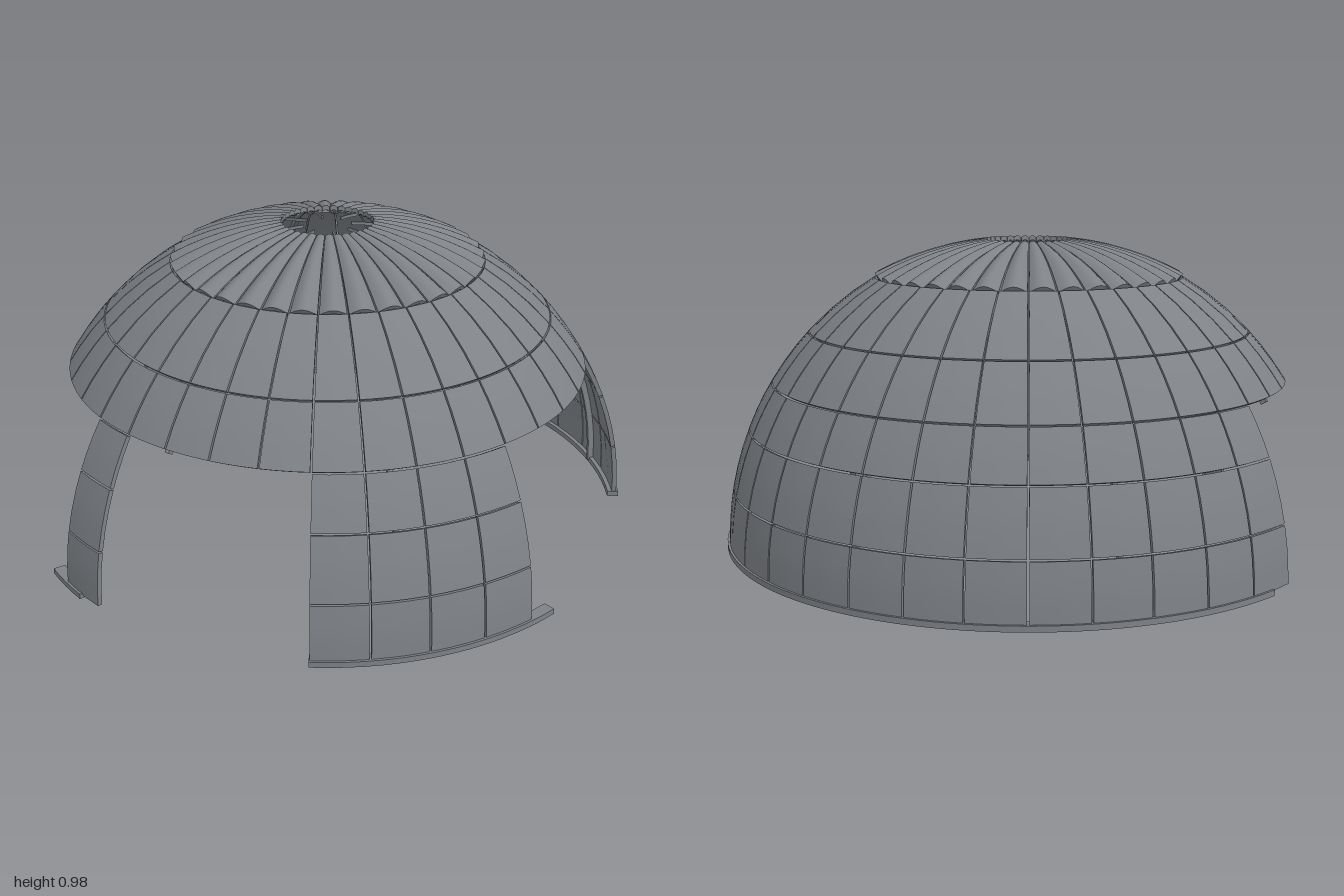
import * as THREE from 'three';
import { mergeGeometries } from 'three/addons/utils/BufferGeometryUtils.js';

const RAD = Math.PI / 180;
const R = 1.0;          // outer radius of the shell
const THICK = 0.015;    // panel thickness
const STEP = 10;        // degrees per panel column
const GAP = 0.16;       // half seam, degrees

// Bends a unit box: u runs round the dome, v upward, w outward (each 0..1).
function bent(nu, nv, rule) {
  const g = new THREE.BoxGeometry(1, 1, 1, nu, nv, 1);
  const p = g.attributes.position;
  for (let i = 0; i < p.count; i++) {
    p.setXYZ(i, ...rule(0.5 - p.getX(i), p.getY(i) + 0.5, p.getZ(i) + 0.5));
  }
  g.computeVertexNormals();
  return g;
}

const lerp = THREE.MathUtils.lerp;
const polar = (r, y, a) => [r * Math.cos(a * RAD), y, r * Math.sin(a * RAD)];
const onDome = (r, elev, a) => polar(r * Math.cos(elev * RAD), r * Math.sin(elev * RAD), a);

// One curved rectangular panel with a narrow seam all round
function panel(a0, e0, e1) {
  const seam = GAP / Math.cos(e0 * RAD);
  return bent(3, 3, (u, v, w) => onDome(
    R - THICK + THICK * w,
    lerp(e0 + GAP, e1 - GAP, v),
    lerp(a0 + seam, a0 + STEP - seam, u)));
}

function panels(from, to, rows) {
  const list = [];
  for (let a = from; a < to; a += STEP) {
    for (let i = 0; i + 1 < rows.length; i++) list.push(panel(a, rows[i], rows[i + 1]));
  }
  return mergeGeometries(list);
}

// Rounded flutes of the crown
function flutes(e0, e1) {
  const list = [];
  for (let a = 0; a < 360; a += STEP) {
    list.push(bent(8, 6, (u, v, w) => {
      const e = lerp(e0 + GAP, e1, v);
      const bulge = 0.04 * Math.cos(e * RAD) * Math.sin(Math.PI * u);
      return onDome(R - 0.01 - THICK + THICK * w + bulge, e, lerp(a + 0.3, a + STEP - 0.3, u));
    }));
  }
  return mergeGeometries(list);
}

// Arched bar of constant width under the shell
function rib(angle, e0, e1, width, rIn, rOut) {
  return bent(1, 16, (u, v, w) => {
    const e = lerp(e0, e1, v) * RAD, r = lerp(rIn, rOut, w), t = (u - 0.5) * width;
    const c = Math.cos(angle * RAD), s = Math.sin(angle * RAD);
    return [r * Math.cos(e) * c - t * s, r * Math.sin(e), r * Math.cos(e) * s + t * c];
  });
}

export function createModel() {
  const grey = new THREE.MeshStandardMaterial({ color: 0x7e8287 });
  grey.name = 'shell grey';

  const model = new THREE.Group();
  model.name = 'dome';
  const add = (name, geometry) => {
    const mesh = new THREE.Mesh(geometry, grey);
    mesh.name = name;
    model.add(mesh);
  };

  // Crown and the full ring of roof panels
  add('flutedCrown', flutes(59.7, 81.4));
  add('roofPanels', panels(0, 360, [32, 43.6, 59.7]));

  // Remaining wall sections and their base rails
  const walls = [
    { name: 'backWall', from: 190, to: 330, rail: [195, 330] },
    { name: 'frontLeftWall', from: 20, to: 60, rail: [15, 60] },
    { name: 'frontRightWall', from: 100, to: 110, rail: [105, 115] },
  ];
  for (const { name, from, to, rail } of walls) {
    add(name, panels(from, to, [0.6, 11, 22.4, 32]));
    const n = Math.ceil((rail[1] - rail[0]) / 3);
    add(name + 'Rail', bent(n, 1, (u, v, w) =>
      polar(lerp(0.97, 1.007, w), 0.018 * v, lerp(rail[0], rail[1], u))));
  }

  // Inner ribs, reaching the ground where a wall stands
  for (let a = 0; a < 360; a += 45) {
    const grounded = walls.some((s) => a > s.from && a < s.to);
    add('rib', rib(a, grounded ? 0.6 : 31.6, 59.7, 0.014, R - 0.035, R - THICK));
    add('crownRib', rib(a, 59.7, 85.4, 0.005, R - 0.035, R - 0.025));
  }

  model.position.z = 0.006;
  const root = new THREE.Group();
  root.name = 'panelledDome';
  root.add(model);
  return root;
}
